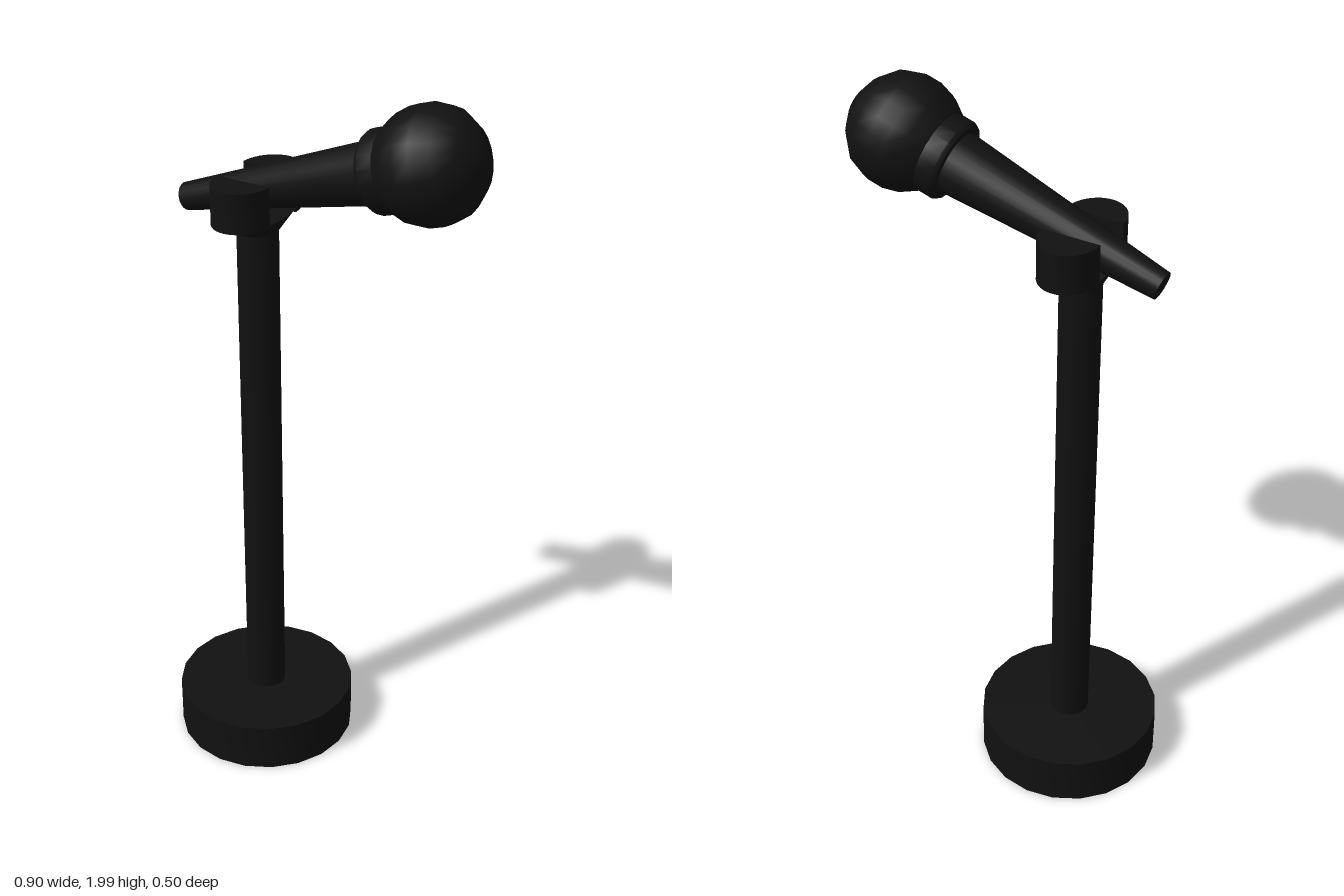
import * as THREE from 'three';
import { toCreasedNormals } from 'three/addons/utils/BufferGeometryUtils.js';

const POLE_X = -0.195;
const black = new THREE.MeshStandardMaterial({ color: 0x111111 });
const blackThin = new THREE.MeshStandardMaterial({ color: 0x111111, side: THREE.DoubleSide });

export function createModel() {
  const model = new THREE.Group();
  const add = (parent, name, geometry, material = black) => {
    const mesh = new THREE.Mesh(toCreasedNormals(geometry, 0.6), material);
    mesh.name = name;
    parent.add(mesh);
    return mesh;
  };
  const lathe = (points, sides) =>
    new THREE.LatheGeometry(points.map(([r, y]) => new THREE.Vector2(r, y)), sides);

  // Stand: hollow base, open underneath, and a straight pole
  const stand = new THREE.Group();
  stand.name = 'stand';
  stand.position.x = POLE_X;
  model.add(stand);
  add(stand, 'base', lathe([[0.252, 0], [0.252, 0.14], [0, 0.14]], 20), blackThin);
  add(stand, 'pole', new THREE.CylinderGeometry(0.055, 0.055, 1.46, 20).translate(0, 0.86, 0));

  // Clip: flared oval foot carrying two rounded cheeks
  const clip = new THREE.Group();
  clip.name = 'clip';
  clip.position.set(POLE_X, 0, 0.002);
  model.add(clip);
  const foot = new THREE.CylinderGeometry(1, 1, 0.045, 20).translate(0, 1.5925, 0);
  const p = foot.attributes.position;
  for (let i = 0; i < p.count; i++) {
    const top = p.getY(i) > 1.59;
    p.setX(i, p.getX(i) * (top ? 0.079 : 0.055));
    p.setZ(i, p.getZ(i) * (top ? 0.153 : 0.055));
  }
  add(clip, 'clipFoot', foot);

  const cheekShape = new THREE.Shape();
  cheekShape.absellipse(0, 0, 0.079, 0.093, 0, Math.PI, false, 0);
  cheekShape.closePath();
  for (const side of [1, -1]) {
    const cheek = new THREE.ExtrudeGeometry(cheekShape, { depth: 0.107, bevelEnabled: false, curveSegments: 10 });
    cheek.rotateX(-Math.PI / 2).translate(0, 1.613, -0.06);
    if (side > 0) cheek.rotateY(Math.PI);
    add(clip, side > 0 ? 'frontCheek' : 'backCheek', cheek);
  }

  // Microphone, turned about its own axis and tilted up toward +x
  const mic = new THREE.Group();
  mic.name = 'microphone';
  mic.position.set(-0.41, 1.617, 0.004);
  mic.rotation.z = THREE.MathUtils.degToRad(17.6 - 90);
  model.add(mic);
  add(mic, 'handle', lathe([[0, 0], [0.037, 0], [0.083, 0.62], [0, 0.62]], 20));
  add(mic, 'collar', lathe([[0, 0.595], [0.1, 0.595], [0.106, 0.605], [0.106, 0.65], [0, 0.65]], 20));
  add(mic, 'head', lathe([
    [0, 0.645], [0.11, 0.65], [0.135, 0.688], [0.147, 0.73], [0.147, 0.775],
    [0.13, 0.825], [0.088, 0.867], [0.045, 0.89], [0, 0.897],
  ], 20));

  return model;
}
